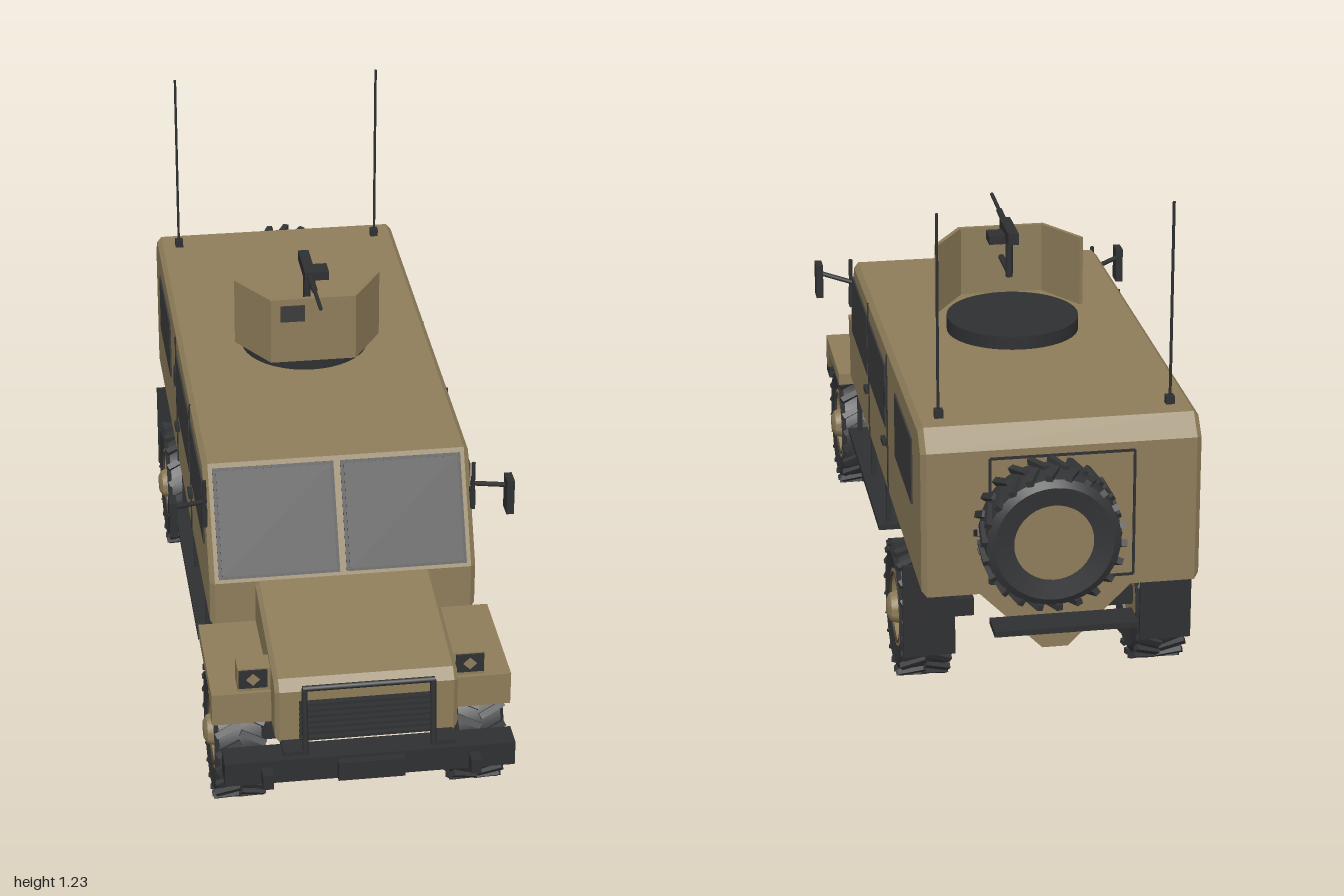
import * as THREE from 'three';
import { toCreasedNormals } from 'three/addons/utils/BufferGeometryUtils.js';

const mat = (name, color) => Object.assign(new THREE.MeshStandardMaterial({ color }), { name });

export function createModel() {
  const model = new THREE.Group();
  model.name = 'armouredTruck';
  const tan = mat('sandPaint', 0x8e7d5a);
  const dark = mat('darkMetal', 0x2f3032);
  const rubber = mat('tyreRubber', 0x343537);
  const glass = mat('tintedGlass', 0x3c3c3c);
  const seam = mat('seamShade', 0x4a4130);

  const add = (name, geo, material, parent = model) => {
    const m = new THREE.Mesh(geo, material);
    m.name = name;
    parent.add(m);
    return m;
  };
  // Box given by its x, y and z ranges
  const box = (name, material, [x0, x1], [y0, y1], [z0, z1], parent) => {
    const g = new THREE.BoxGeometry(Math.abs(x1 - x0), y1 - y0, z1 - z0);
    g.translate((x0 + x1) / 2, (y0 + y1) / 2, (z0 + z1) / 2);
    return add(name, g, material, parent);
  };
  // Rod between two points
  const rod = (name, material, a, b, r, sides = 8) => {
    const p = new THREE.Vector3(...a), q = new THREE.Vector3(...b);
    const m = add(name, new THREE.CylinderGeometry(r, r, p.distanceTo(q), sides), material);
    m.position.copy(p).lerp(q, 0.5);
    m.quaternion.setFromUnitVectors(new THREE.Vector3(0, 1, 0), q.sub(p).normalize());
    return m;
  };
  const shapeOf = pts => new THREE.Shape(pts.map(p => new THREE.Vector2(...p)));
  // Side profile of (z, y) points extruded across x, with chamfered edges
  const sideExtrude = (pts, x0, x1, b = 0) => {
    const g = new THREE.ExtrudeGeometry(shapeOf(pts), {
      depth: x1 - x0 - 2 * b, bevelEnabled: b > 0, bevelSize: b, bevelThickness: b, bevelOffset: -b, bevelSegments: 1,
    });
    return g.rotateY(-Math.PI / 2).translate(x1 - b, 0, 0);
  };
  const both = fn => [1, -1].forEach(fn);

  // Cabin, bonnet and V-shaped hull
  add('cabin', sideExtrude([[0.52, 0.36], [0.52, 0.48], [0.385, 0.732], [-0.825, 0.757],
    [-0.868, 0.71], [-0.868, 0.36]], -0.32, 0.32, 0.012), tan);
  add('bonnet', sideExtrude([[0.5, 0.28], [0.9, 0.28], [0.9, 0.415], [0.875, 0.437], [0.5, 0.483]],
    -0.212, 0.212, 0.01), tan);
  const hull = new THREE.ExtrudeGeometry(
    shapeOf([[-0.03, 0.175], [0.03, 0.175], [0.215, 0.362], [-0.215, 0.362]]), { depth: 1.29, bevelEnabled: false });
  add('hull', hull.translate(0, 0, -0.79), tan);

  // Windscreen panes in dark frames
  const screen = new THREE.Group();
  screen.name = 'windscreen';
  screen.position.set(0, 0.606, 0.4525);
  screen.rotation.x = -0.492;
  model.add(screen);
  both(s => {
    box('windscreenFrame', dark, [s * 0.008, s * 0.298], [-0.134, 0.131], [-0.002, 0.003], screen);
    box('windscreenPane', glass, [s * 0.016, s * 0.29], [-0.127, 0.124], [0, 0.006], screen);
  });

  // Wheel with its outer face toward +x
  const lathe = (pts, n) => toCreasedNormals(
    new THREE.LatheGeometry(pts.map(p => new THREE.Vector2(...p)), n).rotateZ(-Math.PI / 2), 0.6);
  const tyreGeo = lathe([[0.09, -0.052], [0.135, -0.06], [0.152, -0.05], [0.156, 0],
    [0.152, 0.05], [0.135, 0.06], [0.09, 0.052]], 40);
  const rimGeo = lathe([[0, -0.045], [0.094, -0.045], [0.094, 0.054], [0.084, 0.054], [0.074, 0.034],
    [0.042, 0.04], [0.034, 0.066], [0.02, 0.074], [0, 0.074]], 32);
  const grooveGeo = new THREE.TorusGeometry(0.084, 0.003, 6, 32).rotateY(Math.PI / 2);
  const lugGeo = new THREE.BoxGeometry(0.064, 0.014, 0.015);
  const boltGeo = new THREE.CylinderGeometry(0.007, 0.007, 0.01, 8).rotateZ(Math.PI / 2);
  const wheel = (name, x, y, z, turn) => {
    const g = new THREE.Group();
    g.name = name;
    g.position.set(x, y, z);
    g.rotation.y = turn;
    model.add(g);
    add('tyre', tyreGeo, rubber, g);
    add('rim', rimGeo, tan, g);
    add('rimGroove', grooveGeo, seam, g).position.x = 0.053;
    // Chevron tread, staggered between the two halves
    for (let i = 0; i < 44; i++) {
      const side = i % 2 ? 1 : -1, a = (i / 44) * Math.PI * 2;
      const pivot = new THREE.Group();
      pivot.name = 'treadLug';
      pivot.rotation.x = a;
      g.add(pivot);
      const lug = add('lug', lugGeo, rubber, pivot);
      lug.position.set(side * 0.029, 0.157, 0);
      lug.rotation.y = side * 0.45;
    }
    for (let i = 0; i < 8; i++) {
      const a = (i / 8) * Math.PI * 2;
      add('rimHole', boltGeo, dark, g).position.set(0.034, Math.cos(a) * 0.058, Math.sin(a) * 0.058);
      const bolt = add('hubBolt', boltGeo, dark, g);
      bolt.position.set(0.064, Math.cos(a) * 0.027, Math.sin(a) * 0.027);
      bolt.scale.setScalar(0.5);
    }
  };
  for (const [end, z] of [['front', 0.667], ['rear', -0.51]]) {
    both(s => {
      wheel(end + 'Wheel', s * 0.2825, 0.17, z, s > 0 ? 0 : Math.PI);
      box('stubAxle', dark, [s * 0.15, s * 0.25], [0.145, 0.19], [z - 0.025, z + 0.025]);
    });
  }
  wheel('spareWheel', 0.04, 0.53, -0.936, -Math.PI / 2);
  box('spareMount', dark, [-0.02, 0.1], [0.47, 0.59], [-0.895, -0.866]);

  // Parts repeated on each side
  both(s => {
    const X = [s * 0.316, s * 0.324], [f0, f1] = s > 0 ? [0.2, 0.35] : [-0.35, -0.2];
    add('fender', sideExtrude([[0.52, 0.34], [0.75, 0.34], [0.79, 0.288], [0.825, 0.288], [0.825, 0.37],
      [0.52, 0.37]], f0, f1), tan);
    box('headlightHousing', tan, [s * 0.212, s * 0.288], [0.365, 0.43], [0.76, 0.815]);
    box('headlightFace', dark, [s * 0.22, s * 0.286], [0.38, 0.427], [0.812, 0.82]);
    const lens = box('headlightLens', tan, [-0.011, 0.011], [-0.011, 0.011], [-0.003, 0.003]);
    lens.position.set(s * 0.253, 0.404, 0.82);
    lens.rotation.z = Math.PI / 4;

    // Side windows, door seams and fittings
    const [w0, w1] = s > 0 ? [0.317, 0.324] : [-0.324, -0.317];
    add('frontSideWindow', sideExtrude([[0.415, 0.53], [0.395, 0.69], [0.09, 0.69], [0.09, 0.53]], w0, w1), glass);
    box('middleSideWindow', glass, X, [0.53, 0.69], [-0.26, 0.067]);
    box('rearSideWindow', glass, X, [0.53, 0.69], [-0.726, -0.44]);
    for (const z of [0.08, -0.285]) box('doorSeam', dark, [s * 0.316, s * 0.323], [0.365, 0.728], [z - 0.003, z + 0.003]);
    for (const z of [0.1, -0.245]) box('doorHandle', dark, [s * 0.316, s * 0.331], [0.484, 0.496], [z - 0.02, z + 0.02]);
    for (const z of [0.435, -0.277]) box('doorHinge', dark, [s * 0.316, s * 0.328], [0.595, 0.645], [z - 0.012, z + 0.012]);

    // Running board on hangers, mud flap
    box('runningBoard', dark, [s * 0.255, s * 0.34], [0.25, 0.263], [-0.24, 0.4]);
    for (const z of [0.375, 0.08, -0.215]) box('boardHanger', dark, [s * 0.306, s * 0.318], [0.26, 0.365], [z - 0.006, z + 0.006]);
    box('mudFlap', dark, [s * 0.22, s * 0.342], [0.13, 0.362], [-0.7, -0.691]);

    // Wing mirror
    rod('mirrorBar', dark, [s * 0.322, 0.6, 0.443], [s * 0.322, 0.72, 0.443], 0.005);
    rod('mirrorArm', dark, [s * 0.318, 0.66, 0.435], [s * 0.4, 0.675, 0.48], 0.006);
    box('mirror', dark, [s * 0.392, s * 0.41], [0.61, 0.7], [0.465, 0.508]);

    // Whip antenna
    box('antennaBase', dark, [s * 0.255, s * 0.275], [0.75, 0.775], [-0.775, -0.755]);
    rod('antenna', dark, [s * 0.266, 0.77, -0.765], [s * 0.266, 1.236, -0.765], 0.0035, 6);

    // Bumper hook and guard upright
    box('bumperHook', dark, [s * 0.228, s * 0.252], [0.22, 0.258], [0.96, 0.998]);
    rod('guardUpright', dark, [s * 0.148, 0.27, 0.947], [s * 0.148, 0.437, 0.924], 0.007);
    box('bumperBracket', dark, [s * 0.15, s * 0.2], [0.268, 0.285], [0.88, 0.95]);
  });

  // Bumper, grille and guard
  box('bumper', dark, [-0.336, 0.336], [0.214, 0.275], [0.9, 0.965]);
  box('bumperPlate', dark, [-0.077, 0.077], [0.22, 0.268], [0.96, 0.985]);
  for (let i = 0; i < 7; i++) {
    const y = 0.293 + i * 0.0155;
    box('grilleBar', dark, [-0.157, 0.157], [y - 0.0035, y + 0.0035], [0.895, 0.916]);
  }
  rod('guardTop', dark, [-0.152, 0.438, 0.924], [0.152, 0.438, 0.924], 0.007);

  // Rear door outline, step and handle
  for (const x of [-0.165, 0.165]) box('rearDoorSeam', dark, [x - 0.003, x + 0.003], [0.385, 0.69], [-0.871, -0.865]);
  for (const y of [0.385, 0.69]) box('rearDoorSeam', dark, [-0.165, 0.165], [y - 0.003, y + 0.003], [-0.871, -0.865]);
  box('rearStep', dark, [-0.165, 0.165], [0.281, 0.295], [-0.935, -0.86]);

  // Roof ring and folded gun shield
  const ring = add('turretRing', toCreasedNormals(new THREE.CylinderGeometry(0.16, 0.16, 0.036, 40), 0.6), dark);
  ring.position.set(0, 0.762, -0.193);
  const shield = shapeOf([[-0.183, 0.142], [-0.106, 0.018], [0.106, 0.018], [0.183, 0.142],
    [0.174, 0.146], [0.101, 0.029], [-0.101, 0.029], [-0.174, 0.146]]);
  add('gunShield', new THREE.ExtrudeGeometry(shield, { depth: 0.172, bevelEnabled: false })
    .rotateX(-Math.PI / 2).scale(1, 1, 1).rotateY(Math.PI).translate(0, 0.778, 0)
    .applyMatrix4(new THREE.Matrix4().makeRotationY(0)).translate(0, 0, -0.0).rotateY(0), tan)
    .position.z = 0;
  // The shield outline runs backwards from the front panel
  const fold = model.getObjectByName('gunShield').geometry;
  fold.translate(0, 0, -0.082).rotateY(Math.PI).translate(0, 0, -0.082);
  box('shieldWindow', glass, [-0.082, -0.022], [0.89, 0.933], [-0.02, -0.014]);

  // Machine gun on its pintle
  rod('pintle', dark, [0, 0.86, -0.145], [0, 0.97, -0.145], 0.009);
  rod('pintleArm', dark, [0, 0.87, -0.145], [0, 0.87, -0.025], 0.008);
  rod('gunBarrel', dark, [0, 0.987, 0.115], [0, 0.977, -0.09], 0.005);
  rod('barrelJacket', dark, [0, 0.981, 0], [0, 0.977, -0.09], 0.008);
  box('gunReceiver', dark, [-0.013, 0.013], [0.962, 0.99], [-0.21, -0.08]);
  box('ammoBox', dark, [0.012, 0.052], [0.95, 0.972], [-0.165, -0.115]);
  return model;
}
